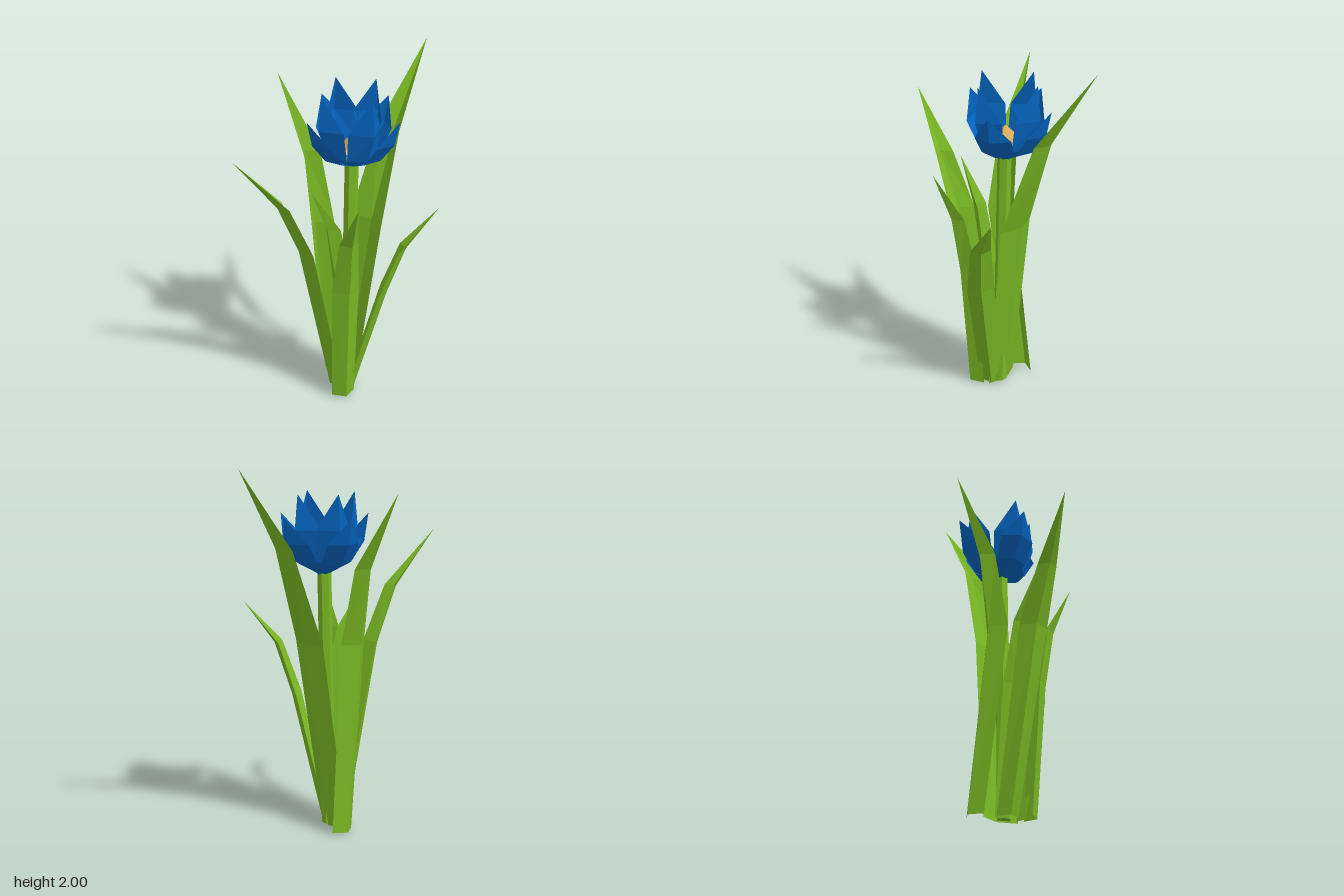
import * as THREE from 'three';

const green = new THREE.MeshStandardMaterial({ color: 0x7ab824, side: THREE.DoubleSide });
green.name = 'leaf green';
const blue = new THREE.MeshStandardMaterial({ color: 0x0463be, side: THREE.DoubleSide });
blue.name = 'petal blue';
const amber = new THREE.MeshStandardMaterial({ color: 0xe0b05c });
amber.name = 'amber';

// Separate the faces so that each gets its own flat normal
function faceted(geometry) {
  const flat = geometry.index ? geometry.toNonIndexed() : geometry;
  flat.computeVertexNormals();
  return flat;
}

// Folded blade: stations along the outer rib [x, y, z, halfWidth, foldDepth],
// with the two margins set inward from the rib; angle is the outward heading from +x to +z.
// The last station is the pointed tip.
function blade(stations, angle) {
  const ox = Math.cos(angle), oz = Math.sin(angle);
  const positions = [], index = [];
  for (const [x, y, z, w, d] of stations) {
    for (const s of [-1, 0, 1]) {
      const inset = s === 0 ? 0 : d;
      positions.push(x - ox * inset - oz * w * s, y, z - oz * inset + ox * w * s);
    }
  }
  const last = stations.length - 2;
  for (let i = 0; i <= last; i++) {
    for (let j = 0; j < 2; j++) {
      const a = i * 3 + j;
      index.push(a, a + 3, a + 1);
      if (i < last) index.push(a + 1, a + 3, a + 4);
    }
  }
  const geometry = new THREE.BufferGeometry();
  geometry.setAttribute('position', new THREE.Float32BufferAttribute(positions, 3));
  geometry.setIndex(index);
  return faceted(geometry);
}

function add(parent, name, geometry, material) {
  const mesh = new THREE.Mesh(geometry, material);
  mesh.name = name;
  parent.add(mesh);
  return mesh;
}

const leaves = [
  { name: 'leftTallLeaf', angle: 0, path: [
    [0.07, 0, -0.03, 0.11, 0.04], [0.21, 1.05, 0.015, 0.125, 0.045],
    [0.38, 1.57, 0.005, 0.08, 0.045], [0.63, 2, -0.03, 0, 0]] },
  { name: 'backLeaf', angle: -Math.PI / 2 - 0.1, path: [
    [0.07, 0.01, -0.21, 0.07, 0.05], [-0.045, 1.04, -0.17, 0.085, 0.065],
    [-0.055, 1.46, -0.24, 0.06, 0.06], [-0.09, 1.87, -0.42, 0, 0]] },
  { name: 'rightLeaf', angle: Math.PI + 0.25, path: [
    [-0.06, 0.01, -0.03, 0.06, 0.05], [-0.28, 1.01, -0.02, 0.08, 0.05],
    [-0.41, 1.32, -0.025, 0.055, 0.045], [-0.63, 1.63, -0.09, 0, 0]] },
  { name: 'frontLeftLeaf', angle: 0.8, path: [
    [0.04, 0.01, 0.07, 0.06, 0.04], [0.12, 0.72, 0.25, 0.075, 0.04],
    [0.185, 1.01, 0.325, 0.055, 0.035], [0.33, 1.25, 0.42, 0, 0]] },
  { name: 'frontRightLeaf', angle: Math.PI / 2 + 0.3, path: [
    [-0.07, 0.01, 0.13, 0.07, 0.05], [-0.09, 0.75, 0.18, 0.08, 0.06],
    [-0.11, 1.08, 0.225, 0.055, 0.05], [-0.15, 1.36, 0.32, 0, 0]] },
  { name: 'innerLeaf', angle: Math.PI - 0.25, path: [
    [0.0, 0.01, 0.0, 0.055, 0.05], [-0.06, 0.75, 0.03, 0.07, 0.06],
    [-0.12, 1.1, 0.03, 0.05, 0.05], [-0.22, 1.36, 0.02, 0, 0]] },
];

// Petal profiles: [radius, height, halfWidth, foldDepth]
const innerProfile = [[0.02, 1.42, 0.03, 0.02], [0.15, 1.5, 0.09, 0.06],
  [0.21, 1.67, 0.1, 0.095], [0.19, 1.86, 0, 0]];
const outerProfile = [[0.02, 1.42, 0.03, 0.02], [0.17, 1.49, 0.09, 0.05],
  [0.25, 1.6, 0.1, 0.055], [0.28, 1.74, 0, 0]];

function petal(profile, angle) {
  const c = Math.cos(angle), s = Math.sin(angle);
  return blade(profile.map(([r, y, w, d]) => [r * c, y, r * s, w, d]), angle);
}

export function createModel() {
  const model = new THREE.Group();
  model.name = 'floweringPlant';

  // Leaves
  const foliage = new THREE.Group();
  foliage.name = 'leaves';
  for (const { name, angle, path } of leaves) add(foliage, name, blade(path, angle), green);
  model.add(foliage);

  // Stem
  const stem = add(model, 'stem',
    faceted(new THREE.CylinderGeometry(0.038, 0.04, 1.45, 6)), green);
  stem.position.set(0.06, 0.735, 0);
  stem.rotation.z = -0.02;

  // Bloom: four tall inner petals, four spreading outer petals
  const bloom = new THREE.Group();
  bloom.name = 'bloom';
  bloom.position.set(0.08, 0, 0);
  [-0.15, 1.72, 3.3, 4.92].forEach((angle, i) =>
    add(bloom, `innerPetal${i + 1}`, petal(innerProfile, angle), blue));
  [-0.1, 1.22, 3.28, 4.78].forEach((angle, i) =>
    add(bloom, `outerPetal${i + 1}`, petal(outerProfile, angle), blue));

  // Flower centre: five-sided cone
  const centre = add(bloom, 'flowerCentre',
    faceted(new THREE.ConeGeometry(0.09, 0.09, 5)), amber);
  centre.position.set(0, 1.565, 0);
  centre.rotation.y = 0.05;
  model.add(bloom);

  return model;
}
